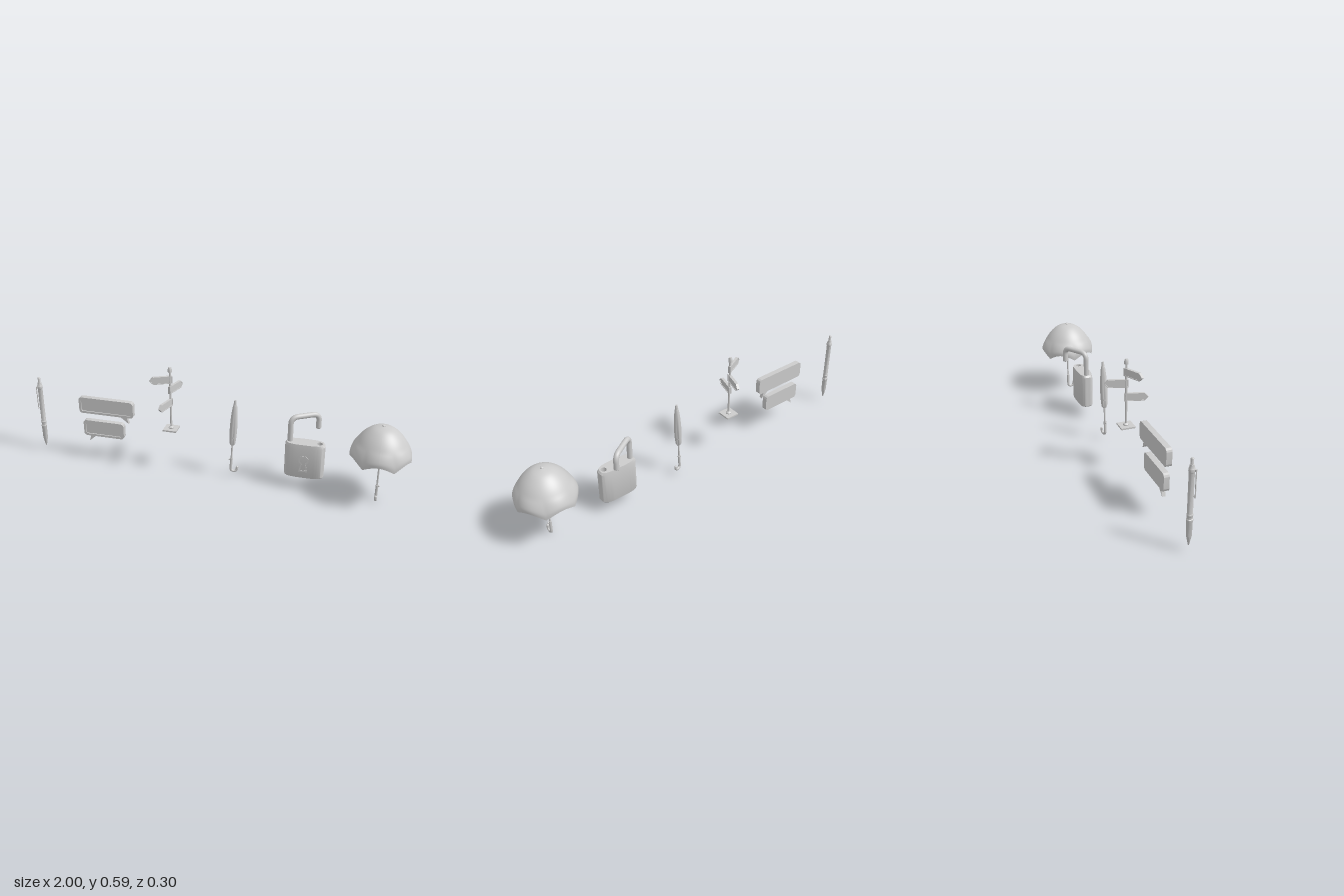
import * as THREE from 'three';
import { toCreasedNormals } from 'three/addons/utils/BufferGeometryUtils.js';

const mat = new THREE.MeshStandardMaterial({ color: 0xcccccc });
const thinMat = new THREE.MeshStandardMaterial({ color: 0xcccccc, side: THREE.DoubleSide });
const V = (x, y, z = 0) => new THREE.Vector3(x, y, z);

function add(parent, name, geo, x = 0, y = 0, z = 0, material = mat) {
  const m = new THREE.Mesh(geo, material);
  m.name = name;
  m.position.set(x, y, z);
  parent.add(m);
  return m;
}

function group(parent, name, x = 0, y = 0, z = 0) {
  const g = new THREE.Group();
  g.name = name;
  g.position.set(x, y, z);
  parent.add(g);
  return g;
}

const lathe = (pts, seg = 24) =>
  toCreasedNormals(new THREE.LatheGeometry(pts.map(p => new THREE.Vector2(...p)), seg), 0.6);

const extrude = (shape, depth) => toCreasedNormals(
  new THREE.ExtrudeGeometry(shape, { depth, bevelEnabled: false, curveSegments: 10 }), 0.6);

const polygon = pts => new THREE.Shape(pts.map(p => new THREE.Vector2(...p)));

function roundedRect(w, h, r) {
  const s = new THREE.Shape(), x = w / 2 - r, y = h / 2 - r, q = Math.PI / 2;
  s.absarc(x, y, r, 0, q);
  s.absarc(-x, y, r, q, 2 * q);
  s.absarc(-x, -y, r, 2 * q, 3 * q);
  s.absarc(x, -y, r, 3 * q, 4 * q);
  s.closePath();
  return s;
}

// Border strip between two outlines
function frame(outer, inner, depth) {
  outer.holes.push(inner);
  return extrude(outer, depth);
}

function buildPen(root) {
  const pen = group(root, 'pen', -0.983, 0.03, -0.032);
  add(pen, 'penBody', lathe([
    [0, 0], [0.003, 0.004], [0.011, 0.045], [0.0125, 0.05], [0.0135, 0.12], [0.015, 0.123],
    [0.015, 0.13], [0.0125, 0.133], [0.0125, 0.145], [0.0145, 0.148], [0.0145, 0.154],
    [0.0125, 0.157], [0.0125, 0.35], [0.0145, 0.353], [0.0145, 0.366], [0.012, 0.37], [0.009, 0.385],
    [0.007, 0.386], [0.007, 0.412], [0.005, 0.415], [0, 0.415]]));
  const clip = group(pen, 'penClip');
  clip.rotation.y = -Math.PI * 0.75;
  add(clip, 'clipStrip', new THREE.BoxGeometry(0.003, 0.13, 0.008), 0.0195, 0.3, 0);
  add(clip, 'clipBridge', new THREE.BoxGeometry(0.011, 0.01, 0.008), 0.0155, 0.36, 0);
  add(clip, 'clipFoot', new THREE.SphereGeometry(0.004, 12, 8), 0.0165, 0.24, 0);
}

function buildBubble(root, name, x, y, w, tail) {
  const b = group(root, name, x, y, -0.04);
  add(b, 'bubblePanel', extrude(roundedRect(w, 0.091, 0.018), 0.022));
  add(b, 'bubbleRim', frame(roundedRect(w, 0.091, 0.018), roundedRect(w - 0.024, 0.067, 0.01), 0.028));
  add(b, 'bubbleTail', extrude(polygon(tail), 0.018), 0, 0, 0.005);
}

function buildSignpost(root) {
  const post = group(root, 'signpost', -0.237, 0.235, -0.028);
  add(post, 'postBase', new THREE.BoxGeometry(0.073, 0.008, 0.073), 0, 0.004, 0);
  add(post, 'pole', lathe([[0, 0.006], [0.014, 0.006], [0.014, 0.013], [0.009, 0.018],
    [0.0055, 0.02], [0.0055, 0.33], [0, 0.33]]));
  add(post, 'finial', lathe([[0, 0.327], [0.0105, 0.327], [0.0105, 0.343], [0.007, 0.353], [0, 0.355]]));
  const arrow = i => polygon([[-0.011 + i, -0.02 + i], [0.088 - i * 0.4, -0.02 + i], [0.107 - i * 1.4, 0],
    [0.088 - i * 0.4, 0.02 - i], [-0.011 + i, 0.02 - i]]);
  // Height and heading of each board
  for (const [y, dx, dz] of [[0.285, -0.096, 0.046], [0.228, 0.03, -0.1], [0.157, -0.026, 0.095]]) {
    const sign = group(post, 'arrowSign', 0, y, 0);
    sign.rotation.y = Math.atan2(-dz, dx);
    add(sign, 'signBoard', extrude(arrow(0.001), 0.009), 0, 0, -0.0045);
    add(sign, 'signRim', frame(arrow(0), arrow(0.004), 0.014), 0, 0, -0.007);
  }
}

// Shaft with a hooked grip that curls toward +x
function buildHandle(parent, shaftTop, bump) {
  const r = 0.0165, tube = 0.0068, c = tube + r;
  add(parent, 'shaft', new THREE.CylinderGeometry(0.0045, 0.0045, shaftTop - 0.06, 16), 0, (shaftTop + 0.06) / 2, 0);
  const path = new THREE.CurvePath();
  path.add(new THREE.LineCurve3(V(0, 0.075), V(0, c)));
  path.add(new THREE.CubicBezierCurve3(V(0, c), V(0, c - r * 1.333), V(2 * r, c - r * 1.333), V(2 * r, c)));
  path.add(new THREE.LineCurve3(V(2 * r, c), V(2 * r, 0.031)));
  add(parent, 'hookGrip', new THREE.TubeGeometry(path, 48, tube, 14));
  add(parent, 'hookEnd', new THREE.SphereGeometry(tube, 14, 10), 2 * r, 0.031, 0);
  add(parent, 'gripCollar', new THREE.CylinderGeometry(0.0075, 0.0075, 0.014, 16), 0, 0.076, 0);
  add(parent, 'releaseButton', new THREE.SphereGeometry(0.005, 12, 8), bump[0], 0.076, bump[1]);
}

function buildClosedUmbrella(root) {
  const u = group(root, 'closedUmbrella', 0.088, 0.028, -0.022);
  u.rotation.set(0, 0.25, -0.05);
  buildHandle(u, 0.2, [-0.009, 0]);
  const pts = [[0.009, 0.162], [0.0135, 0.172], [0.016, 0.2], [0.018, 0.25], [0.0175, 0.3],
    [0.015, 0.345], [0.011, 0.385], [0.007, 0.397]];
  const geo = new THREE.LatheGeometry(pts.map(p => new THREE.Vector2(...p)), 48);
  const p = geo.attributes.position;
  // Gathered pleats, deepest toward the hem
  for (let i = 0; i < p.count; i++) {
    const a = Math.atan2(p.getZ(i), p.getX(i)), y = p.getY(i);
    const k = 1 + 0.12 * Math.cos(6 * a) * (0.4 - y) / 0.23;
    p.setXYZ(i, p.getX(i) * k, y, p.getZ(i) * k);
  }
  geo.computeVertexNormals();
  add(u, 'furledCanopy', geo, 0, 0, 0, thinMat);
  add(u, 'canopyStrap', new THREE.CylinderGeometry(0.0175, 0.017, 0.01, 24, 1, true), 0, 0.21, 0, thinMat);
  add(u, 'canopyTip', lathe([[0.008, 0.393], [0.0065, 0.412], [0.005, 0.419], [0, 0.42]], 16));
}

function buildOpenUmbrella(root) {
  const u = group(root, 'openUmbrella', 0.85, 0, 0);
  const stick = group(u, 'umbrellaStick');
  stick.rotation.y = -Math.PI / 2;
  buildHandle(stick, 0.41, [0, -0.009]);
  const dome = new THREE.SplineCurve([[0.15, 0.231], [0.1495, 0.262], [0.135, 0.305], [0.11, 0.348], [0.08, 0.381],
    [0.045, 0.404], [0.001, 0.414]].map(p => new THREE.Vector2(...p)));
  const geo = new THREE.LatheGeometry(dome.getPoints(24), 96);
  const p = geo.attributes.position;
  // Six scallops between the rib ends
  for (let i = 0; i < p.count; i++) {
    const x = p.getX(i), z = p.getZ(i), y = p.getY(i);
    const t = Math.max(0, (0.33 - y) / 0.1);
    p.setY(i, y + 0.03 * t * Math.abs(Math.sin(3 * Math.atan2(z, x))));
  }
  geo.computeVertexNormals();
  add(u, 'canopy', geo, 0, 0, 0, thinMat);
  add(u, 'canopyKnob', lathe([[0.008, 0.408], [0.008, 0.416], [0.005, 0.419], [0, 0.419]], 16));
}

function buildPadlock(root) {
  const lock = group(root, 'padlock', 0.4755, 0, -0.0235);
  const pow = v => Math.sign(v) * Math.abs(v) ** 0.6;
  const outline = (a, k) => [0.1015 * k * pow(Math.cos(a)), 0.0385 * k * pow(Math.sin(a))];
  const profile = [[0.001, 0.072], [0.95, 0.072], [1, 0.078], [1, 0.25], [0.92, 0.26]];
  const geo = new THREE.LatheGeometry(profile.map(p => new THREE.Vector2(...p)), 72);
  const p = geo.attributes.position;
  // Oval plan with a shoulder that dips at front and back
  for (let i = 0; i < p.count; i++) {
    const k = Math.hypot(p.getX(i), p.getZ(i)), a = Math.atan2(p.getZ(i), p.getX(i)), y = p.getY(i);
    const [x, z] = outline(a, k);
    p.setXYZ(i, x, y === Math.fround(0.25) ? y - 0.016 * Math.sin(a) ** 2 : y, z);
  }
  add(lock, 'lockBody', toCreasedNormals(geo, 0.5));
  // Flat top with the empty shackle socket
  const top = polygon(Array.from({ length: 72 }, (_, i) => outline(i / 72 * Math.PI * 2, 0.92)));
  top.holes.push(new THREE.Path().absarc(0.073, 0, 0.0145, 0, Math.PI * 2, true));
  add(lock, 'lockTop', new THREE.ShapeGeometry(top, 16), 0, 0.26, 0).rotation.x = -Math.PI / 2;
  add(lock, 'shackleSocket', new THREE.CylinderGeometry(0.0145, 0.0145, 0.04, 32, 1, true), 0.073, 0.24, 0, thinMat);
  add(lock, 'socketFloor', new THREE.CylinderGeometry(0.0145, 0.0145, 0.002, 32), 0.073, 0.22, 0);
  // Keyhole surround
  const keyhole = (r, w, h) => {
    const s = new THREE.Shape();
    s.absarc(0, 0, r, -Math.PI / 3, Math.PI * 4 / 3);
    s.lineTo(-w, -h);
    s.lineTo(w, -h);
    s.closePath();
    return s;
  };
  add(lock, 'keyholeRim', frame(keyhole(0.026, 0.023, 0.065), keyhole(0.018, 0.014, 0.057), 0.014), 0, 0.174, 0.0265);
  // Shackle swung open about its long leg
  const shackle = group(lock, 'shackle', -0.079, 0, -0.002);
  shackle.rotation.y = 0.56;
  const w = 0.153, t = 0.387, c = 0.038, path = new THREE.CurvePath();
  path.add(new THREE.LineCurve3(V(0, 0.24), V(0, t - c)));
  path.add(new THREE.QuadraticBezierCurve3(V(0, t - c), V(0, t), V(c, t)));
  path.add(new THREE.LineCurve3(V(c, t), V(w - c, t)));
  path.add(new THREE.QuadraticBezierCurve3(V(w - c, t), V(w, t), V(w, t - c)));
  path.add(new THREE.LineCurve3(V(w, t - c), V(w, 0.309)));
  add(shackle, 'shackleBar', new THREE.TubeGeometry(path, 90, 0.0138, 20));
  add(shackle, 'shackleEnd', lathe([[0, 0.306], [0.0115, 0.306], [0.0138, 0.309]], 20), w, 0, 0);
}

export function createModel() {
  const root = new THREE.Group();
  root.name = 'objectSet';
  buildPen(root);
  buildBubble(root, 'upperSpeechBubble', -0.598, 0.32, 0.307, [[0.072, -0.04], [0.126, -0.082], [0.114, -0.04]]);
  buildBubble(root, 'lowerSpeechBubble', -0.618, 0.187, 0.23, [[-0.075, -0.04], [-0.09, -0.081], [-0.042, -0.04]]);
  buildSignpost(root);
  buildClosedUmbrella(root);
  buildPadlock(root);
  buildOpenUmbrella(root);
  return root;
}
